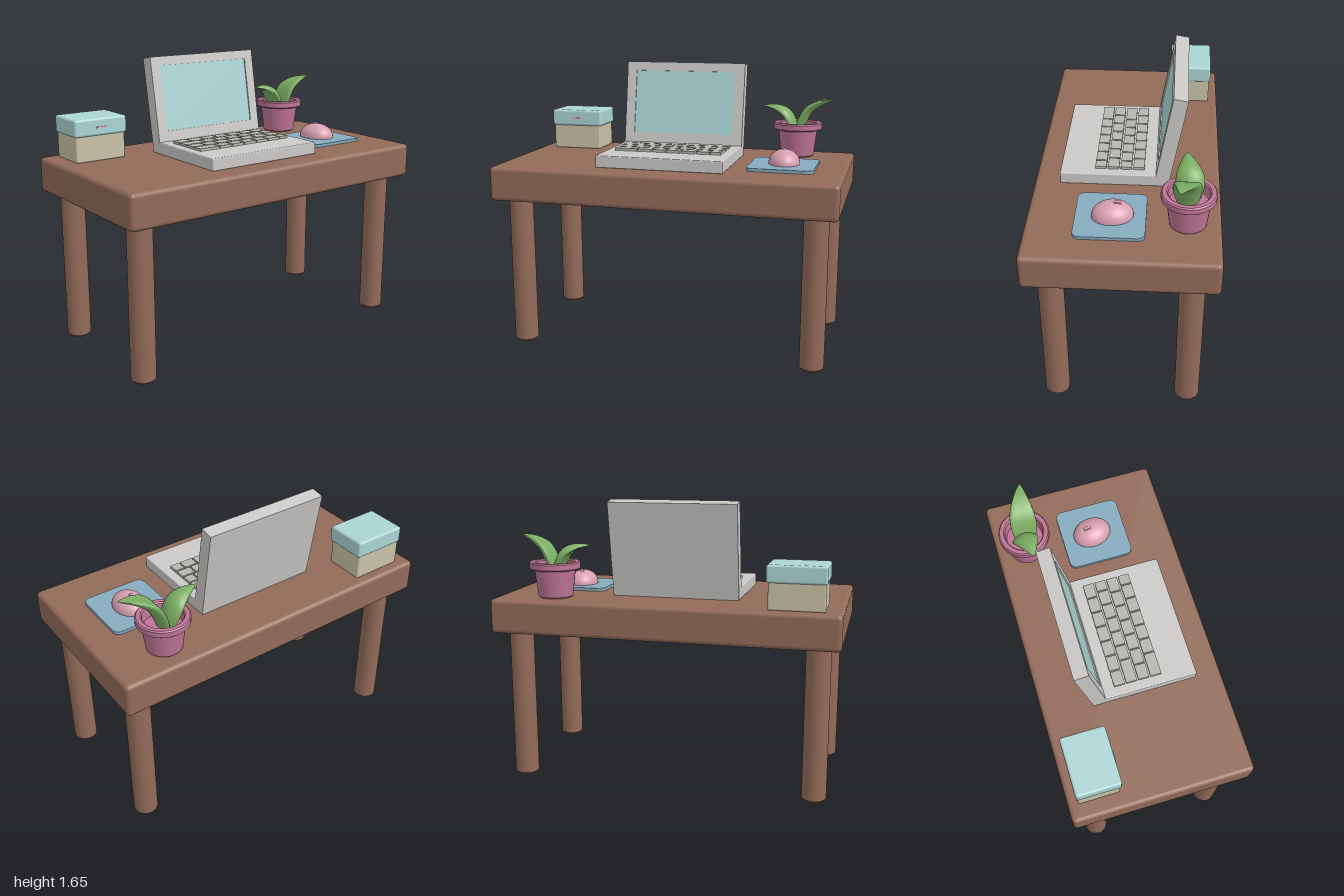
import * as THREE from 'three';
import { toCreasedNormals } from 'three/addons/utils/BufferGeometryUtils.js';
import { RoundedBoxGeometry } from 'three/addons/geometries/RoundedBoxGeometry.js';
import { ParametricGeometry } from 'three/addons/geometries/ParametricGeometry.js';

const paint = (name, color) => {
  const m = new THREE.MeshStandardMaterial({ color });
  m.name = name;
  return m;
};

const TOP = 1.09; // height of the tabletop

export function createModel() {
  const wood = paint('wood brown', 0x936b59);
  const metal = paint('light grey', 0xcbcac8);
  const keyGrey = paint('key grey', 0xb6b6b0);
  const teal = paint('pale teal', 0xabd5d4);
  const beige = paint('beige', 0xc9c3a8);
  const blue = paint('pad blue', 0x86abbf);
  const pink = paint('soft pink', 0xd8a0b0);
  const rose = paint('rose', 0xbf7595);
  const green = paint('leaf green', 0x7cae64);

  const model = new THREE.Group();
  model.name = 'desk';
  const add = (name, geometry, material, x = 0, y = 0, z = 0, parent = model) => {
    const mesh = new THREE.Mesh(geometry, material);
    mesh.name = name;
    mesh.position.set(x, y, z);
    parent.add(mesh);
    return mesh;
  };
  const rounded = (w, h, d, r) => new RoundedBoxGeometry(w, h, d, 3, r);
  const lathe = (points) => toCreasedNormals(
    new THREE.LatheGeometry(points.map(([r, y]) => new THREE.Vector2(r, y)), 40), 0.6);

  // Table
  add('tabletop', rounded(1.04, 0.2, 2, 0.025), wood, 0, TOP - 0.1, 0);
  const legShape = lathe([[0, 0], [0.055, 0], [0.07, 0.015], [0.07, 0.91]]);
  for (const x of [-0.375, 0.375])
    for (const z of [-0.87, 0.87]) add('leg', legShape, wood, x, 0, z);

  // Laptop base
  const laptop = new THREE.Group();
  laptop.name = 'laptop';
  model.add(laptop);
  add('laptopBase', rounded(0.595, 0.07, 0.745, 0.006), metal, 0.0775, TOP + 0.035, 0.0275, laptop);

  // Keys: even columns start with a short key and end with a long one
  for (let column = 0; column < 4; column++) {
    const staggered = column % 2 === 1;
    const lengths = staggered ? [0.066, 0.088, 0.088, 0.088, 0.088, 0.088, 0.14]
      : Array(7).fill(0.646 / 7);
    let z = -0.295;
    for (const length of lengths) {
      add('key', new THREE.BoxGeometry(0.062, 0.02, length - 0.008), keyGrey,
        -0.063 + column * 0.071, TOP + 0.075, z + length / 2, laptop);
      z += length;
    }
  }

  // Laptop lid, leaning back, with a slightly sunken display
  const lid = new THREE.Group();
  lid.name = 'laptopLid';
  lid.position.set(-0.15, TOP + 0.015, 0.0275);
  lid.rotation.z = 0.17;
  laptop.add(lid);
  const bezel = new THREE.Shape([[-0.3725, 0], [0.3725, 0], [0.3725, 0.555], [-0.3725, 0.555]]
    .map((p) => new THREE.Vector2(...p)));
  bezel.holes.push(new THREE.Path([[-0.313, 0.118], [-0.313, 0.502], [0.313, 0.502], [0.313, 0.118]]
    .map((p) => new THREE.Vector2(...p))));
  const bezelGeometry = new THREE.ExtrudeGeometry(bezel, { depth: 0.01, bevelEnabled: false });
  bezelGeometry.rotateY(Math.PI / 2);
  add('screenBezel', bezelGeometry, metal, -0.01, 0, 0, lid);
  add('lidShell', new THREE.BoxGeometry(0.07, 0.555, 0.745), metal, -0.045, 0.2775, 0, lid);
  add('display', new THREE.BoxGeometry(0.004, 0.384, 0.626), teal, -0.009, 0.31, 0, lid);

  // Storage box
  add('boxBody', rounded(0.236, 0.155, 0.311, 0.01), beige, -0.345, TOP + 0.0775, 0.75);
  add('boxLid', rounded(0.252, 0.1, 0.329, 0.014), teal, -0.344, TOP + 0.197, 0.748);
  add('boxClasp', new THREE.BoxGeometry(0.008, 0.008, 0.06), pink, -0.217, TOP + 0.195, 0.75);

  // Mouse pad with rounded corners
  const h = 0.19, r = 0.04;
  const padShape = new THREE.Shape();
  for (let i = 0; i < 4; i++) {
    const a = i * Math.PI / 2;
    const sx = i === 0 || i === 3 ? 1 : -1, sy = i < 2 ? 1 : -1;
    padShape.absarc(sx * (h - r), sy * (h - r), r, a, a + Math.PI / 2, false);
  }
  const padGeometry = new THREE.ExtrudeGeometry(padShape, { depth: 0.018, bevelEnabled: false });
  padGeometry.rotateX(-Math.PI / 2);
  add('mousePad', padGeometry, blue, 0.07, TOP, -0.638);

  // Mouse: a dome, a closed underside and a scroll wheel
  const mouse = new THREE.Group();
  mouse.name = 'mouse';
  mouse.position.set(0.06, TOP + 0.018, -0.64);
  mouse.rotation.y = 0.15;
  model.add(mouse);
  const dome = new THREE.SphereGeometry(1, 32, 16, 0, Math.PI * 2, 0, Math.PI * 0.6);
  dome.scale(0.114, 0.08, 0.09);
  add('mouseBody', dome, pink, 0, 0.004, 0, mouse);
  const wheel = new THREE.CylinderGeometry(0.026, 0.026, 0.018, 20);
  wheel.rotateX(Math.PI / 2);
  add('scrollWheel', wheel, pink, -0.025, 0.064, 0, mouse);

  // Plant pot with a thick rim and a hollow top
  add('pot', lathe([[0, 0], [0.092, 0], [0.1, 0.008], [0.118, 0.16], [0.14, 0.163], [0.147, 0.17],
    [0.147, 0.2], [0.14, 0.207], [0.117, 0.207], [0.11, 0.2], [0.105, 0.14], [0, 0.14]]),
  rose, -0.34, TOP, -0.662);

  // Leaves: fleshy oval sections swept along an arching curve
  const leaf = (points) => {
    const curve = new THREE.CatmullRomCurve3(points.map((p) => new THREE.Vector3(...p)));
    return new ParametricGeometry((u, v, target) => {
      const c = curve.getPoint(v), t = curve.getTangent(v);
      const n = new THREE.Vector3(0, t.z, -t.y).normalize();
      const size = Math.max(0.004, Math.pow(Math.sin(Math.PI * Math.pow(0.12 + 0.88 * v, 0.85)), 0.8));
      const a = u * Math.PI * 2;
      const side = Math.cos(a) * 0.076 * size;
      // Edges curl towards the upper side
      const lift = Math.sin(a) * 0.027 * size - 0.015 * size * Math.cos(a) ** 2;
      target.copy(c).addScaledVector(n, lift);
      target.x += side;
    }, 24, 24);
  };
  add('frontLeaf', leaf([[-0.34, 1.2, -0.65], [-0.343, 1.29, -0.63], [-0.342, 1.355, -0.59],
    [-0.335, 1.385, -0.53], [-0.325, 1.395, -0.445]]), green);
  add('backLeaf', leaf([[-0.335, 1.2, -0.665], [-0.33, 1.29, -0.685], [-0.327, 1.375, -0.73],
    [-0.315, 1.42, -0.8], [-0.293, 1.445, -0.89]]), green);

  return model;
}
